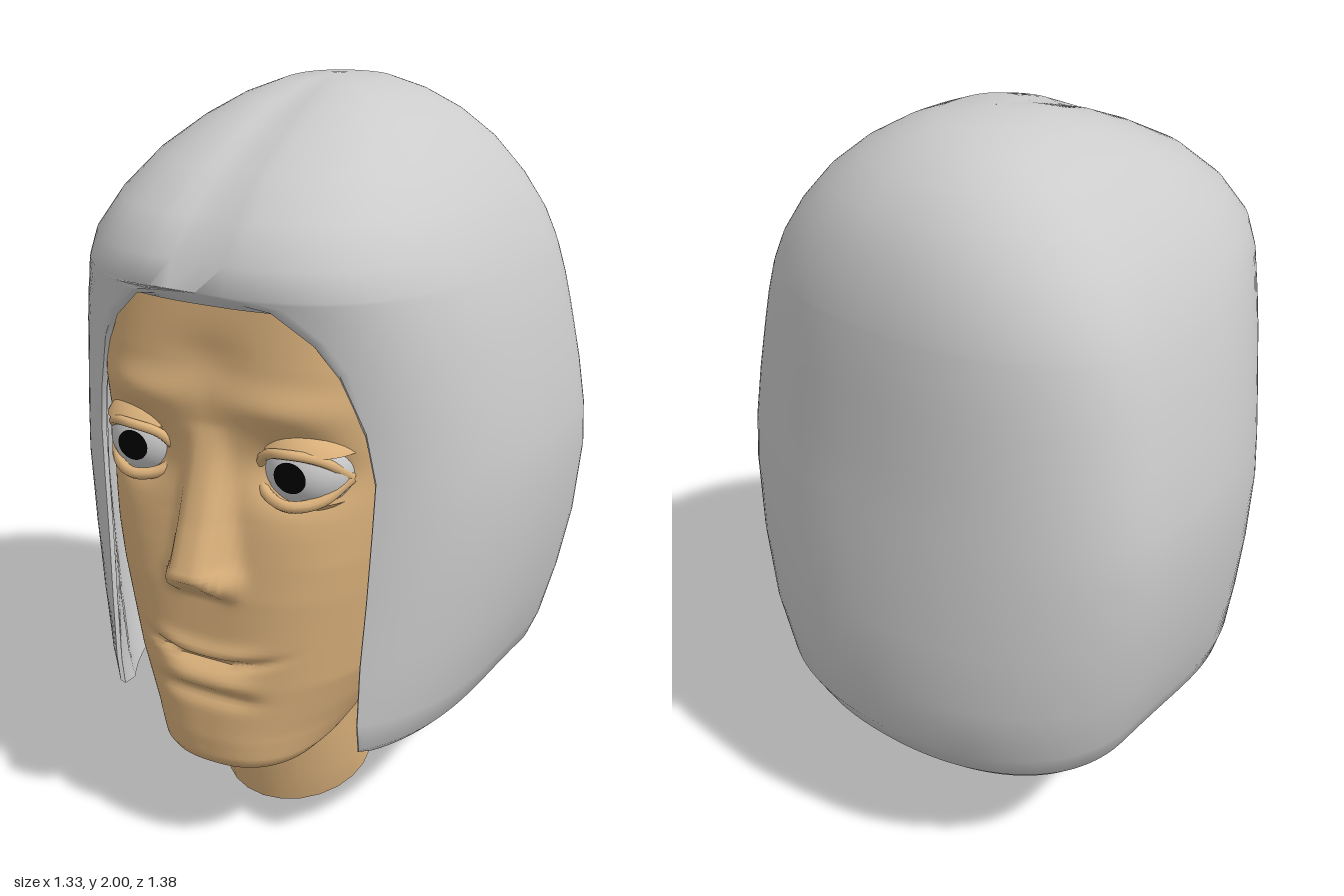
import * as THREE from 'three';
import { toCreasedNormals } from 'three/addons/utils/BufferGeometryUtils.js';

const skin = new THREE.MeshStandardMaterial({ color: 0xdcb27c, side: THREE.DoubleSide });
const grey = new THREE.MeshStandardMaterial({ color: 0xcccccc });
const hairGrey = new THREE.MeshStandardMaterial({ color: 0xcccccc, side: THREE.DoubleSide });
const black = new THREE.MeshStandardMaterial({ color: 0x000000 });

const bump = (d, s) => Math.exp(-((d / s) ** 2));
const plateau = (d, s) => Math.exp(-((d / s) ** 4));
const clamp01 = (v) => Math.min(1, Math.max(0, v));

// Joins closed rings of points, listed from the bottom up, into a surface
function loft(rings, crease) {
  const n = rings[0].length, index = [];
  for (let j = 0; j < rings.length - 1; j++) {
    for (let i = 0; i < n; i++) {
      const a = j * n + i, b = j * n + (i + 1) % n;
      index.push(a, b, b + n, a, b + n, a + n);
    }
  }
  const geo = new THREE.BufferGeometry();
  geo.setAttribute('position', new THREE.Float32BufferAttribute(rings.flat(2), 3));
  geo.setIndex(index);
  return toCreasedNormals(geo, crease);
}

// Linear look-up of a table row by its first column
function sample(table, y) {
  let k = 0;
  while (k < table.length - 2 && y > table[k + 1][0]) k++;
  const a = table[k], b = table[k + 1], t = clamp01((y - a[0]) / (b[0] - a[0]));
  return a.map((v, i) => v + (b[i] - v) * t);
}

function part(group, name, geometry, material) {
  const mesh = new THREE.Mesh(geometry, material);
  mesh.name = name;
  group.add(mesh);
}

// Nose, brow, eye sockets and mouth as relief on the front of the head
function faceRelief(x, y) {
  const ax = Math.abs(x);
  let d = 0;
  const noseRise = y > 0.87 ? clamp01((1.24 - y) / 0.37) : clamp01((y - 0.785) / 0.085);
  d += 0.108 * noseRise * plateau(x, 0.05 + 0.03 * clamp01((1.2 - y) / 0.35));
  d += 0.03 * bump(ax - 0.075, 0.03) * bump(y - 0.84, 0.035);
  d -= 0.07 * bump(ax - 0.23, 0.11) * bump(y - 1.14, 0.08);
  d += 0.02 * bump(ax - 0.2, 0.15) * bump(y - 1.3, 0.05);
  d -= 0.012 * bump(x, 0.1) * bump(y - 1.4, 0.06);
  const my = y - 0.603 - 0.8 * x * x;
  d -= 0.022 * bump(my, 0.014) * plateau(x, 0.18);
  d += 0.014 * bump(my - 0.03, 0.022) * plateau(x, 0.14);
  d += 0.02 * bump(y - 0.555, 0.028) * plateau(x, 0.13);
  d -= 0.018 * bump(y - 0.505, 0.022) * plateau(x, 0.14);
  return d;
}

function headGeometry() {
  // height, half width, front z, centre z, back z
  const table = [
    [0.262, 0.001, 0.43, 0.42, 0.41], [0.27, 0.13, 0.52, 0.39, 0.3], [0.29, 0.2, 0.58, 0.34, 0.25],
    [0.32, 0.23, 0.6, 0.3, 0.18], [0.38, 0.265, 0.605, 0.22, 0.08], [0.45, 0.305, 0.603, 0.13, -0.1],
    [0.55, 0.35, 0.6, 0.05, -0.3], [0.8, 0.395, 0.592, 0, -0.42], [1.0, 0.43, 0.57, -0.05, -0.5],
    [1.2, 0.45, 0.56, -0.05, -0.52], [1.4, 0.455, 0.55, -0.05, -0.52], [1.6, 0.42, 0.53, -0.05, -0.46],
    [1.75, 0.3, 0.36, -0.05, -0.38], [1.85, 0.001, -0.04, -0.05, -0.06],
  ];
  const rows = 140, cols = 160, rings = [];
  for (let j = 0; j <= rows; j++) {
    const y = 0.262 + (1.85 - 0.262) * j / rows;
    const [, w, zf, c, zb] = sample(table, y);
    const p = 2.5 + clamp01((y - 0.4) / 0.5);
    const ring = [];
    for (let i = 0; i < cols; i++) {
      const t = i / cols * Math.PI * 2, s = Math.sin(t), x = w * s;
      const front = Math.cos(t) > 0, e = front ? p : 2.3;
      const k = Math.pow(Math.max(0, 1 - Math.abs(s) ** e), 1 / e);
      const z = front ? c + (zf - c) * k + faceRelief(x, y) * clamp01(k * 2) : c + (zb - c) * k;
      ring.push([x, y, z]);
    }
    rings.push(ring);
  }
  return loft(rings, 1.2);
}

function neckGeometry() {
  // height, half width, front z, back z, rise of the rear edge
  const rows = [[0, 0.215, 0.28, -0.14, 0.11], [0.1, 0.225, 0.3, -0.055, 0.06],
    [0.25, 0.23, 0.315, -0.05, 0], [0.36, 0.245, 0.325, -0.05, 0], [0.62, 0.28, 0.33, -0.05, 0]];
  return loft(rows.map(([y, w, zf, zb, rise]) => Array.from({ length: 24 }, (_, i) => {
    const a = i / 24 * Math.PI * 2, k = Math.cos(a);
    return [w * Math.sin(a) - 0.02, y + rise * (1 - k) / 2, (zf + zb) / 2 + k * (zf - zb) / 2];
  })), 1.2);
}

function hairGeometry() {
  // height, half width, front z, centre z, back z, half opening
  const rows = [
    [0.35, 0.52, 0.57, -0.25, -0.57, 0.39], [0.37, 0.54, 0.58, -0.25, -0.62, 0.375],
    [0.45, 0.57, 0.57, -0.25, -0.665, 0.375], [0.62, 0.61, 0.55, -0.26, -0.69, 0.38],
    [0.8, 0.645, 0.53, -0.27, -0.682, 0.39], [1.0, 0.665, 0.52, -0.27, -0.665, 0.4],
    [1.12, 0.66, 0.52, -0.27, -0.65, 0.405], [1.25, 0.642, 0.53, -0.26, -0.637, 0.385],
    [1.4, 0.612, 0.555, -0.25, -0.625, 0.335], [1.48, 0.592, 0.57, -0.25, -0.617, 0.285],
    [1.56, 0.567, 0.588, -0.25, -0.607, 0.19], [1.572, 0.562, 0.592, -0.25, -0.605, 0.12],
    [1.58, 0.559, 0.594, -0.25, -0.604, 0], [1.65, 0.53, 0.585, -0.24, -0.588, 0],
    [1.74, 0.473, 0.515, -0.22, -0.56, 0], [1.83, 0.395, 0.4, -0.2, -0.51, 0],
    [1.9, 0.31, 0.26, -0.18, -0.44, 0], [1.95, 0.225, 0.14, -0.15, -0.365, 0],
    [1.985, 0.135, 0.02, -0.13, -0.275, 0], [2.0, 0.002, -0.118, -0.12, -0.122, 0],
  ];
  const n = 96;
  const rings = rows.map(([y, w, zf, c, zb, open], row) => {
    const start = Math.asin((open / w) ** 1.4);
    const point = (i, thickness) => {
      // h runs from 0 at the front edges to 1 at the back; the shell thins at the edges
      const h = 1 - Math.abs(1 - 2 * i / n);
      const inset = thickness * (open ? clamp01(0.3 + h * 7) : 1);
      const angle = Math.PI * h + start * (1 - h) ** 3;
      const s = Math.sin(angle) * (i <= n / 2 ? 1 : -1), k = Math.cos(angle);
      const e = 2 / (k > 0 ? 2.8 : 2.15);
      const hw = Math.max(0.001, w - inset);
      const depth = Math.max(0.001, Math.abs((k > 0 ? zf : zb) - c) - inset);
      const x = hw * Math.sign(s) * Math.abs(s) ** e;
      let z = c + Math.sign(k) * depth * Math.abs(k) ** e;
      // shallow parting above the forehead, and a hem raised at the sides
      if (k > 0 && y > 1.6) z -= Math.min(0.03, depth * 0.2) * bump(x + 0.02, 0.05);
      const hem = 0.035 * clamp01((0.6 - y) / 0.2) * bump(z + 0.1, 0.3);
      return [x, y - inset + hem, z];
    };
    const ids = Array.from({ length: n + 1 }, (_, i) => i);
    const thickness = row === 0 ? 0 : 0.04;
    return [...ids.map((i) => point(i, 0)), ...ids.reverse().map((i) => point(i, thickness))];
  });
  return loft(rings, 1.0);
}

function lidGeometry(points, radius) {
  const curve = new THREE.CatmullRomCurve3(points.map((p) => new THREE.Vector3(...p)));
  return new THREE.TubeGeometry(curve, 20, radius, 8);
}

// One eye; side is +1 for the left, -1 for the right
function makeEye(side) {
  const eye = new THREE.Group();
  eye.name = side > 0 ? 'leftEye' : 'rightEye';
  const ball = new THREE.Group();
  ball.name = 'eyeball';
  ball.position.set(side * 0.228, 1.14, 0.43);
  ball.scale.set(1, 0.9, 1);
  eye.add(ball);
  part(ball, 'eyeWhite', new THREE.SphereGeometry(0.125, 32, 24), grey);
  const pupil = new THREE.SphereGeometry(0.129, 32, 8, 0, Math.PI * 2, 0, 0.35);
  part(ball, 'pupil', pupil.rotateX(Math.PI / 2), black);
  // lids: shells over the ball with rolled edges
  const upper = new THREE.SphereGeometry(0.146, 32, 10, 0, Math.PI * 2, 0, 1.12);
  part(ball, 'upperLid', upper, skin);
  const lower = new THREE.SphereGeometry(0.138, 32, 10, 0, Math.PI * 2, 2.16, Math.PI - 2.16);
  part(ball, 'lowerLid', lower, skin);
  const at = (x, y, z) => [side * x, y, z];
  part(eye, 'upperLidEdge', lidGeometry([at(0.115, 1.12, 0.5), at(0.15, 1.18, 0.537),
    at(0.225, 1.203, 0.56), at(0.3, 1.188, 0.525), at(0.345, 1.13, 0.45)], 0.013), skin);
  part(eye, 'lowerLidEdge', lidGeometry([at(0.115, 1.12, 0.5), at(0.155, 1.08, 0.535),
    at(0.225, 1.066, 0.555), at(0.295, 1.08, 0.52), at(0.345, 1.13, 0.45)], 0.015), skin);
  return eye;
}

export function createModel() {
  const model = new THREE.Group();
  model.name = 'headWithBobHair';
  part(model, 'head', headGeometry(), skin);
  part(model, 'neck', neckGeometry(), skin);
  part(model, 'hair', hairGeometry(), hairGrey);
  for (const side of [1, -1]) model.add(makeEye(side));
  return model;
}
